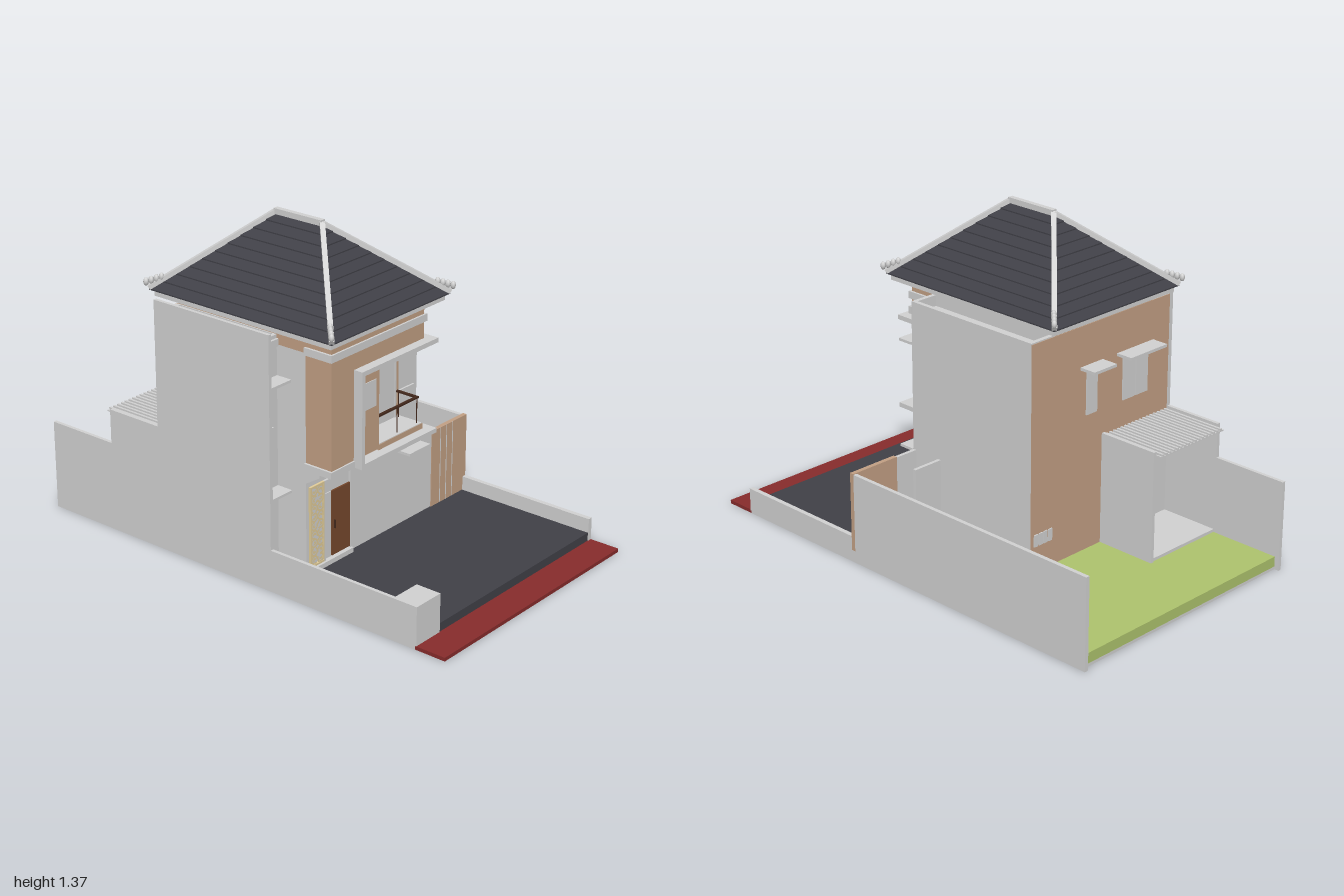
import * as THREE from 'three';

const mat = (name, color, side = THREE.FrontSide) => {
  const m = new THREE.MeshStandardMaterial({ color, side });
  m.name = name;
  return m;
};

export function createModel() {
  const root = new THREE.Group();
  root.name = 'house';
  const wall = mat('grey plaster', 0xd2d2d2);
  const brown = mat('tan plaster', 0xc3a084);
  const dark = mat('charcoal tile', 0x404047, THREE.DoubleSide);
  const red = mat('red paving', 0x872c2c);
  const lawnMat = mat('lawn green', 0xaec46d);
  const plantMat = mat('planter green', 0x6c9d40);
  const wood = mat('door wood', 0x77492d);
  const cream = mat('carved cream', 0xe2cd9a, THREE.DoubleSide);
  const metal = mat('dark metal', 0x44291c);

  const add = (name, geo, m, parent = root) => {
    const mesh = new THREE.Mesh(geo, m);
    mesh.name = name;
    parent.add(mesh);
    return mesh;
  };
  // box given by its extents
  const box = (name, m, x0, x1, y0, y1, z0, z1, parent = root) => {
    const b = add(name, new THREE.BoxGeometry(x1 - x0, y1 - y0, z1 - z0), m, parent);
    b.position.set((x0 + x1) / 2, (y0 + y1) / 2, (z0 + z1) / 2);
    return b;
  };
  // box running from point a to point b
  const beam = (name, m, a, b, w, h) => {
    const A = new THREE.Vector3(...a), B = new THREE.Vector3(...b);
    const s = add(name, new THREE.BoxGeometry(w, h, A.distanceTo(B)), m);
    s.position.copy(A).add(B).multiplyScalar(0.5);
    s.lookAt(B);
    return s;
  };
  const path = (pts, T = THREE.Shape) => new T(pts.map(([x, z]) => new THREE.Vector2(x, -z)));
  // plan outline (x, z) with an opening, raised from y0 to y1
  const plan = (name, m, outer, inner, y0, y1) => {
    const s = path(outer);
    if (inner) s.holes.push(path(inner, THREE.Path));
    const g = new THREE.ExtrudeGeometry(s, { depth: y1 - y0, bevelEnabled: false });
    g.rotateX(-Math.PI / 2);
    g.translate(0, y0, 0);
    return add(name, g, m);
  };
  const rect = (x0, x1, z0, z1) => [[x0, z1], [x1, z1], [x1, z0], [x0, z0]];
  // ground floor room outline, grown outwards by d
  const room = d => [[-0.54 - d, 0.08 + d], [-0.43 - d, 0.08 + d], [-0.43 - d, 0.22 + d],
    [0.21 + d, 0.22 + d], [0.21 + d, -0.39 - d], [-0.54 - d, -0.39 - d]];

  // Plot
  plan('foundation', wall, rect(-0.55, 0.55, -0.98, 0.865), room(0), 0, 0.012);
  plan('lawn', lawnMat, rect(-0.55, 0.55, -0.98, 0.235), room(0.006), 0.012, 0.055);
  box('driveway', dark, -0.425, 0.548, 0.012, 0.05, 0.235, 0.868);
  box('roadStrip', red, -0.565, 0.565, 0, 0.015, 0.865, 1);
  box('sideWallLeft', wall, 0.548, 0.565, 0, 0.38, -1, 0.225);
  box('lowWallLeft', wall, 0.545, 0.565, 0, 0.11, 0.245, 0.87);
  box('gatePost', wall, 0.545, 0.565, 0, 0.05, 0.225, 0.245);
  box('sideWallRight', wall, -0.565, -0.55, 0, 0.38, -1, -0.67);
  box('terraceWallRight', wall, -0.565, -0.55, 0, 0.525, -0.67, -0.41);
  box('tallWallRight', wall, -0.565, -0.55, 0, 1.05, -0.41, 0.17);
  box('lowWallRight', wall, -0.565, -0.55, 0, 0.175, 0.17, 0.87);
  box('planterBox', wall, -0.55, -0.425, 0, 0.175, 0.76, 0.87);
  box('planterKerb', wall, -0.44, -0.425, 0, 0.075, 0.24, 0.76);
  box('planterBed', plantMat, -0.55, -0.44, 0.012, 0.068, 0.1, 0.76);

  // Gate and side yard
  box('gateWall', wall, 0.23, 0.335, 0, 0.38, 0.225, 0.24);
  box('yardWall', wall, 0.23, 0.365, 0, 0.38, 0.085, 0.1);
  box('yardFloor', wall, 0.23, 0.365, 0.055, 0.065, 0.1, 0.225);
  box('gate', brown, 0.335, 0.565, 0.05, 0.383, 0.225, 0.244);
  for (const x of [0.39, 0.43, 0.47]) box('gateGroove', wall, x - 0.0012, x + 0.0012, 0.05, 0.383, 0.244, 0.246);

  // House body, open to the ground inside
  const body = [[-0.55, 0.1], [-0.44, 0.1], [-0.44, 0.24], [0.23, 0.24], [0.23, -0.405], [-0.55, -0.405]];
  plan('groundFloorWalls', wall, body, room(0), 0, 0.42);
  plan('upperFloorBody', wall, body, null, 0.42, 0.96);
  plan('parapetLeft', wall, rect(0.11, 0.23, -0.405, 0.24), rect(0.115, 0.212, -0.387, 0.222), 0.96, 1.005);
  plan('parapetRight', wall, rect(-0.55, -0.44, -0.405, 0.1), rect(-0.535, -0.445, -0.387, 0.085), 0.96, 1.0);
  box('attic', brown, -0.44, 0.11, 0.96, 1.04, -0.405, 0.24);
  box('backFacade', brown, -0.55, 0.229, 0.055, 1.0, -0.407, -0.404);
  box('bandLeft', wall, 0.11, 0.236, 0.955, 0.985, 0.235, 0.25);
  box('bandRight', wall, -0.55, -0.44, 0.955, 0.985, 0.095, 0.11);

  // Side windows and their slabs
  for (const [x0, x1, z] of [[0.105, 0.235, 0.24], [-0.55, -0.44, 0.1]]) {
    for (const y of [0.825, 0.372]) box('sunSlab', wall, x0, x1, y, y + 0.011, z, z + 0.07);
    box('smallWindow', wall, x0 + 0.012, x1 - 0.028, 0.56, 0.635, z, z + 0.008);
  }

  // Projecting upper bay with corner balcony
  box('bay', brown, -0.44, -0.16, 0.515, 1.04, 0.24, 0.365);
  box('bayHeader', brown, -0.16, 0.11, 0.865, 1.04, 0.24, 0.365);
  box('balconyFloor', brown, -0.16, 0.11, 0.505, 0.53, 0.24, 0.365);
  box('balconyPaving', wall, -0.16, 0.108, 0.53, 0.533, 0.244, 0.363);
  box('balconyBackWall', brown, -0.16, 0.11, 0.532, 0.865, 0.24, 0.244);
  box('balconyDoors', wall, -0.16, 0.09, 0.532, 0.81, 0.244, 0.249);
  for (const x of [-0.03, 0.083]) box('doorFrame', wall, x - 0.004, x + 0.004, 0.532, 0.81, 0.249, 0.253);
  box('bayWindow', wall, -0.27, -0.18, 0.7, 0.81, 0.365, 0.368);
  box('bayBand', wall, -0.45, 0.12, 0.955, 0.985, 0.24, 0.373);
  box('bayLedge', wall, -0.45, -0.31, 0.49, 0.517, 0.24, 0.372);
  box('frameSide', wall, -0.31, -0.292, 0.49, 0.885, 0.36, 0.405);
  box('frameTop', wall, -0.31, 0.15, 0.866, 0.885, 0.25, 0.405);
  box('frameBottom', wall, -0.31, 0.15, 0.489, 0.508, 0.245, 0.405);
  // brackets under the bay
  for (const x of [-0.435, -0.17, 0.1]) {
    const s = new THREE.Shape([[-0.24, 0.432], [-0.24, 0.49], [-0.31, 0.49], [-0.31, 0.475], [-0.27, 0.45]]
      .map(p => new THREE.Vector2(...p)));
    const g = new THREE.ExtrudeGeometry(s, { depth: 0.02, bevelEnabled: false });
    g.rotateY(Math.PI / 2);
    add('bracket', g, wall).position.x = x - 0.01;
  }
  // railing round the balcony corner
  const rail = new THREE.Group();
  rail.name = 'railing';
  root.add(rail);
  box('handrailFront', metal, -0.158, 0.097, 0.638, 0.645, 0.344, 0.356, rail);
  box('handrailSide', metal, 0.086, 0.098, 0.638, 0.645, 0.25, 0.356, rail);
  for (const [x, z] of [[-0.148, 0.35], [-0.03, 0.35], [0.092, 0.35], [0.092, 0.26]])
    box('railPost', metal, x - 0.0015, x + 0.0015, 0.532, 0.64, z - 0.0015, z + 0.0015, rail);

  // Entrance
  const frame = [[-0.345, -0.337, 0.07, 0.41], [-0.188, -0.18, 0.07, 0.41], [-0.345, -0.18, 0.402, 0.41]];
  for (const [a, b, c, d] of frame) box('entranceFrame', wall, a, b, c, d, 0.24, 0.25);
  box('entranceStep', wall, -0.43, -0.18, 0.05, 0.07, 0.235, 0.26);
  box('sideLight', wall, -0.335, -0.3, 0.075, 0.35, 0.24, 0.245);
  box('frontDoor', wood, -0.295, -0.188, 0.075, 0.35, 0.216, 0.247);
  box('doorHandle', metal, -0.285, -0.28, 0.19, 0.225, 0.247, 0.254);

  // Carved screen: border with flat scrolls
  const screen = new THREE.Group();
  screen.name = 'carvedScreen';
  root.add(screen);
  for (const [a, b, c, d] of [[-0.425, -0.417, 0.07, 0.41], [-0.348, -0.34, 0.07, 0.41],
    [-0.417, -0.348, 0.07, 0.078], [-0.417, -0.348, 0.402, 0.41]])
    box('screenBorder', cream, a, b, c, d, 0.24, 0.25, screen);
  for (let r = 0; r < 9; r++) for (let c = 0; c < 2; c++) {
    for (const [r0, r1, arc] of [[0.0125, 0.0205, 5.4], [0, 0.0085, 4.6]]) {
      const t = add('scroll', new THREE.RingGeometry(r0, r1, 16, 1, r * 1.9 + c * 2.6, arc), cream, screen);
      t.position.set(-0.4 + c * 0.035, 0.095 + r * 0.0362, 0.247 + c * 0.001);
    }
  }

  // Rear windows, vent and terrace
  for (const [x, w, n] of [[-0.1, 0.065, 1], [-0.35, 0.15, 2]]) {
    box('rearSunSlab', wall, x - w / 2 - 0.03, x + w / 2 + 0.03, 0.823, 0.835, -0.48, -0.406);
    for (let i = 0; i < n; i++) {
      const x0 = x - w / 2 + (i * w) / n;
      box('rearWindow', wall, x0 + 0.003, x0 + w / n - 0.003, 0.63, 0.81, -0.413, -0.406);
    }
  }
  for (let i = 0; i < 4; i++) box('vent', wall, 0.115 + i * 0.026, 0.135 + i * 0.026, 0.165, 0.215, -0.412, -0.406);
  box('terraceFloor', wall, -0.55, -0.165, 0.012, 0.068, -0.67, -0.406);
  box('terraceWall', wall, -0.18, -0.165, 0, 0.525, -0.675, -0.406);
  box('terraceLining', wall, -0.55, -0.18, 0.068, 0.5, -0.412, -0.406);
  box('rearDoor', wood, -0.285, -0.235, 0.068, 0.36, -0.417, -0.412);
  box('canopy', wall, -0.55, -0.18, 0.505, 0.51, -0.7, -0.406);
  for (let i = 0; i < 17; i++) {
    const x = -0.54 + i * 0.0215;
    box('canopyRib', wall, x, x + 0.01, 0.51, 0.518, -0.7, -0.406);
  }

  // Hipped roof in overlapping courses
  const cx = -0.165, cz = -0.025, y0 = 1.06, y1 = 1.355;
  const ring = (t, up = 0) => [[-1, 1], [1, 1], [1, -1], [-1, -1]].map(([sx, sz]) => [
    cx + sx * 0.352 * (1 - t), y0 + (y1 - y0) * t + up, cz + sz * (0.455 - (0.455 - 0.115) * t)]);
  const pos = [];
  const skin = (lo, hi) => lo.forEach((a, i) => {
    const j = (i + 1) % 4;
    pos.push(...a, ...lo[j], ...hi[j], ...a, ...hi[j], ...hi[i]);
  });
  const courses = 10;
  for (let i = 0; i < courses; i++) {
    const lo = ring(i / courses), lip = ring(i / courses, 0.005);
    skin(lo, lip);
    skin(lip, ring((i + 1) / courses));
  }
  const roof = new THREE.BufferGeometry();
  roof.setAttribute('position', new THREE.Float32BufferAttribute(pos, 3));
  roof.computeVertexNormals();
  add('roofTiles', roof, dark);
  box('eaves', wall, -0.503, 0.173, 1.035, 1.062, -0.465, 0.415);
  const eave = ring(0, 0.01), top = ring(1, 0.005);
  eave.forEach((e, i) => {
    beam('hipCap', wall, e, top[i], 0.02, 0.018);
    // rounded upturned ornament at each corner
    const dx = Math.sign(e[0] - cx), dz = Math.sign(e[2] - cz);
    for (let k = 0; k < 4; k++) {
      const c = add('cornerOrnament', new THREE.SphereGeometry(0.011, 8, 6), wall);
      c.position.set(e[0] + dx * (0.008 - k * 0.014), 1.094 + k * 0.006, e[2] + dz * (0.006 - k * 0.014));
      c.scale.y = 1.5;
    }
  });
  box('ridgeCap', wall, cx - 0.011, cx + 0.011, 1.35, 1.373, cz - 0.118, cz + 0.118);
  return root;
}
